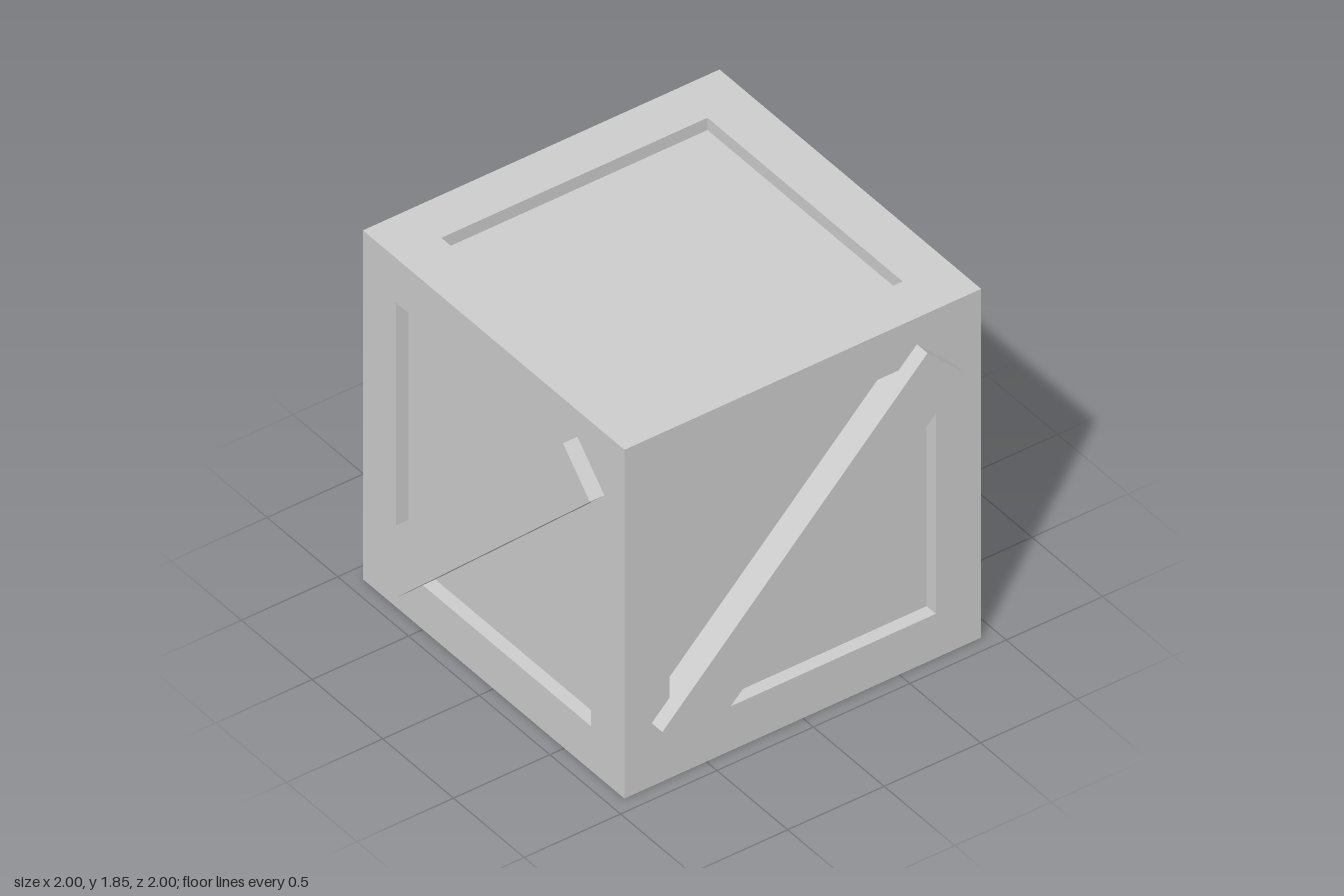
import * as THREE from 'three';

export function createModel() {
  const crate = new THREE.Group();
  crate.name = 'crate';
  const grey = new THREE.MeshStandardMaterial({ color: 0xcccccc });
  grey.name = 'plain grey';

  const half = 0.925;           // half the frame size
  const beam = 0.235;           // width of the frame beams
  const inset = 0.065;          // depth of the recessed panels
  const opening = 2 * (half - beam);
  const mid = half - beam / 2;  // centre line of the beams

  const box = (name, w, h, d, x, y, z, parent = crate) => {
    const mesh = new THREE.Mesh(new THREE.BoxGeometry(w, h, d), grey);
    mesh.name = name;
    mesh.position.set(x, y, z);
    parent.add(mesh);
    return mesh;
  };

  // Core whose faces form the recessed panels
  const core = 2 * (half - inset);
  box('panels', core, core, core, 0, half, 0);

  // Frame: four posts, with rails between them at top and bottom
  for (const a of [-1, 1]) {
    for (const b of [-1, 1]) {
      box('cornerPost', beam, 2 * half, beam, a * mid, half, b * mid);
      box('crossRail', opening, beam, beam, 0, half + a * mid, b * mid);
      box('sideRail', beam, beam, opening, a * mid, half + b * mid, 0);
    }
  }

  // Diagonal brace on each upright side, from the panel out past the frame
  const inner = half - inset;
  for (let i = 0; i < 4; i++) {
    const side = new THREE.Group();
    side.name = 'braceSide';
    side.rotation.y = i * Math.PI / 2;
    const brace = box('diagonalBrace', 1.945, 0.27, 1 - inner, 0, half + 0.002, (1 + inner) / 2, side);
    brace.rotation.z = Math.PI / 4;
    crate.add(side);
  }

  return crate;
}
